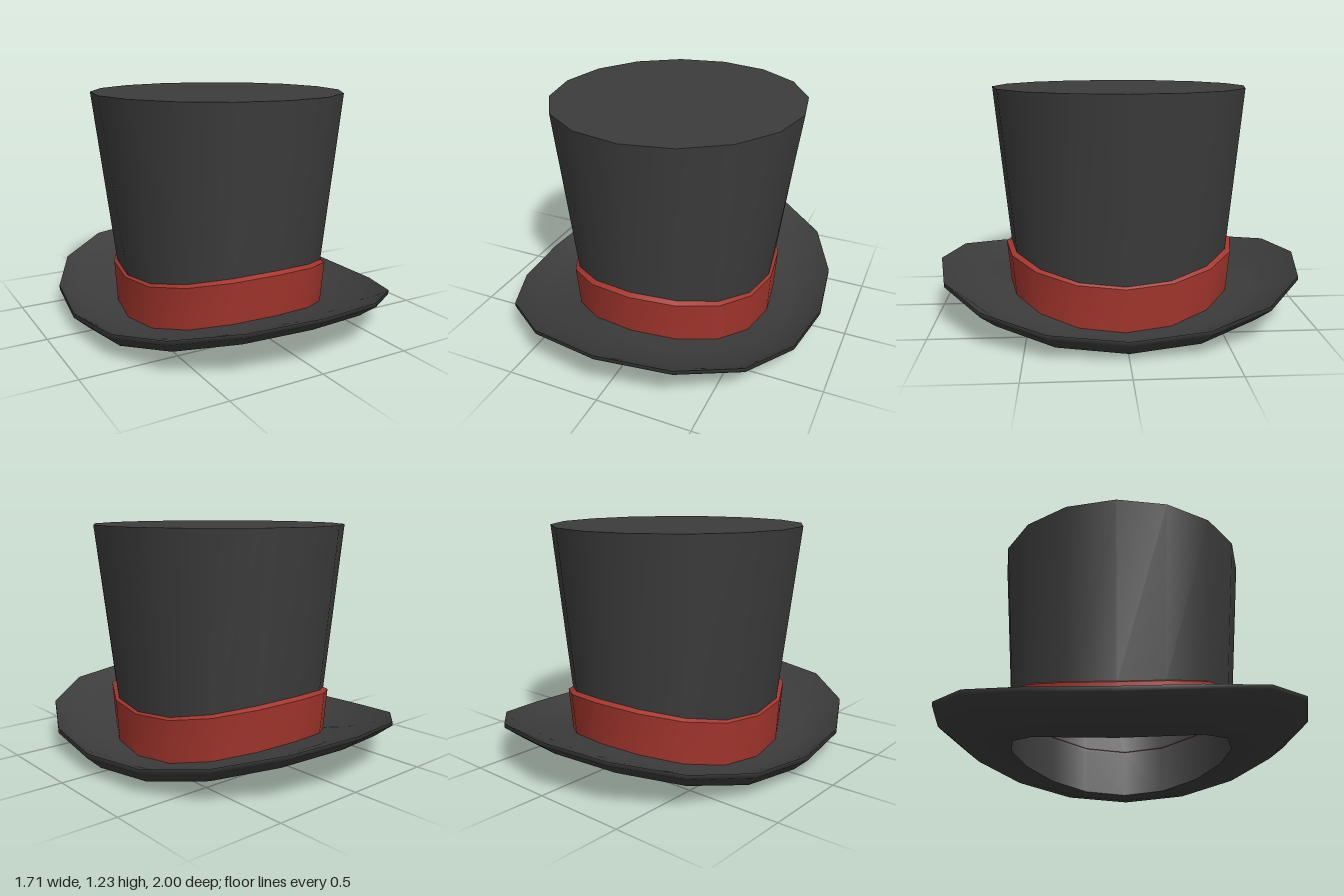
import * as THREE from 'three';

const SIDES = 16;

// Skin a stack of saddle-shaped rings. Each ring is [zRadius, yFront, xRadius, ySide];
// height and width blend from front to side by sin squared. Ring order sets the facing.
function skin(rings) {
  const positions = [], index = [];
  for (const [rz, yFront, rx, ySide] of rings) {
    for (let j = 0; j < SIDES; j++) {
      const a = (j / SIDES) * Math.PI * 2;
      const w = Math.sin(a) ** 2;
      positions.push(
        Math.sin(a) * THREE.MathUtils.lerp(rz, rx, w),
        THREE.MathUtils.lerp(yFront, ySide, w),
        Math.cos(a) * rz
      );
    }
  }
  for (let i = 0; i < rings.length - 1; i++) {
    for (let j = 0; j < SIDES; j++) {
      const k = (j + 1) % SIDES;
      const a = i * SIDES + j, b = i * SIDES + k;
      const c = b + SIDES, d = a + SIDES;
      index.push(a, b, c, a, c, d);
    }
  }
  const geometry = new THREE.BufferGeometry();
  geometry.setAttribute('position', new THREE.Float32BufferAttribute(positions, 3));
  geometry.setIndex(index);
  geometry.computeVertexNormals();
  return geometry;
}

export function createModel() {
  const hat = new THREE.Group();
  hat.name = 'topHat';
  const felt = new THREE.MeshStandardMaterial({ color: 0x3c3c3c, side: THREE.DoubleSide });
  const ribbon = new THREE.MeshStandardMaterial({ color: 0xa3352d, side: THREE.DoubleSide });

  const add = (name, material, rings) => {
    const mesh = new THREE.Mesh(skin(rings), material);
    mesh.name = name;
    hat.add(mesh);
  };

  // Flared crown, open at the bottom
  add('crownWall', felt, [
    [0.585, 0.11, 0.52, 0.0],
    [0.605, 0.37, 0.547, 0.26],
    [0.685, 1.23, 0.675, 1.23],
  ]);
  add('crownTop', felt, [
    [0.685, 1.23, 0.675, 1.23],
    [0, 1.23, 0, 1.23],
  ]);

  // Brim: underside with its rolled edge, then the upper face
  add('brimUnderside', felt, [
    [0.585, 0.11, 0.52, 0.0],
    [0.76, 0.13, 0.66, 0.004],
    [0.91, 0.185, 0.78, 0.022],
    [1.0, 0.255, 0.855, 0.09],
    [1.0, 0.275, 0.855, 0.115],
  ]);
  add('brimTop', felt, [
    [1.0, 0.275, 0.855, 0.115],
    [0.9, 0.215, 0.775, 0.058],
    [0.76, 0.17, 0.66, 0.035],
    [0.588, 0.145, 0.525, 0.03],
  ]);

  // Ribbon band with a narrow sloping upper lip
  add('hatBand', ribbon, [
    [0.612, 0.13, 0.55, 0.025],
    [0.634, 0.37, 0.562, 0.262],
  ]);
  add('hatBandLip', ribbon, [
    [0.634, 0.37, 0.562, 0.262],
    [0.604, 0.384, 0.545, 0.274],
  ]);

  return hat;
}
